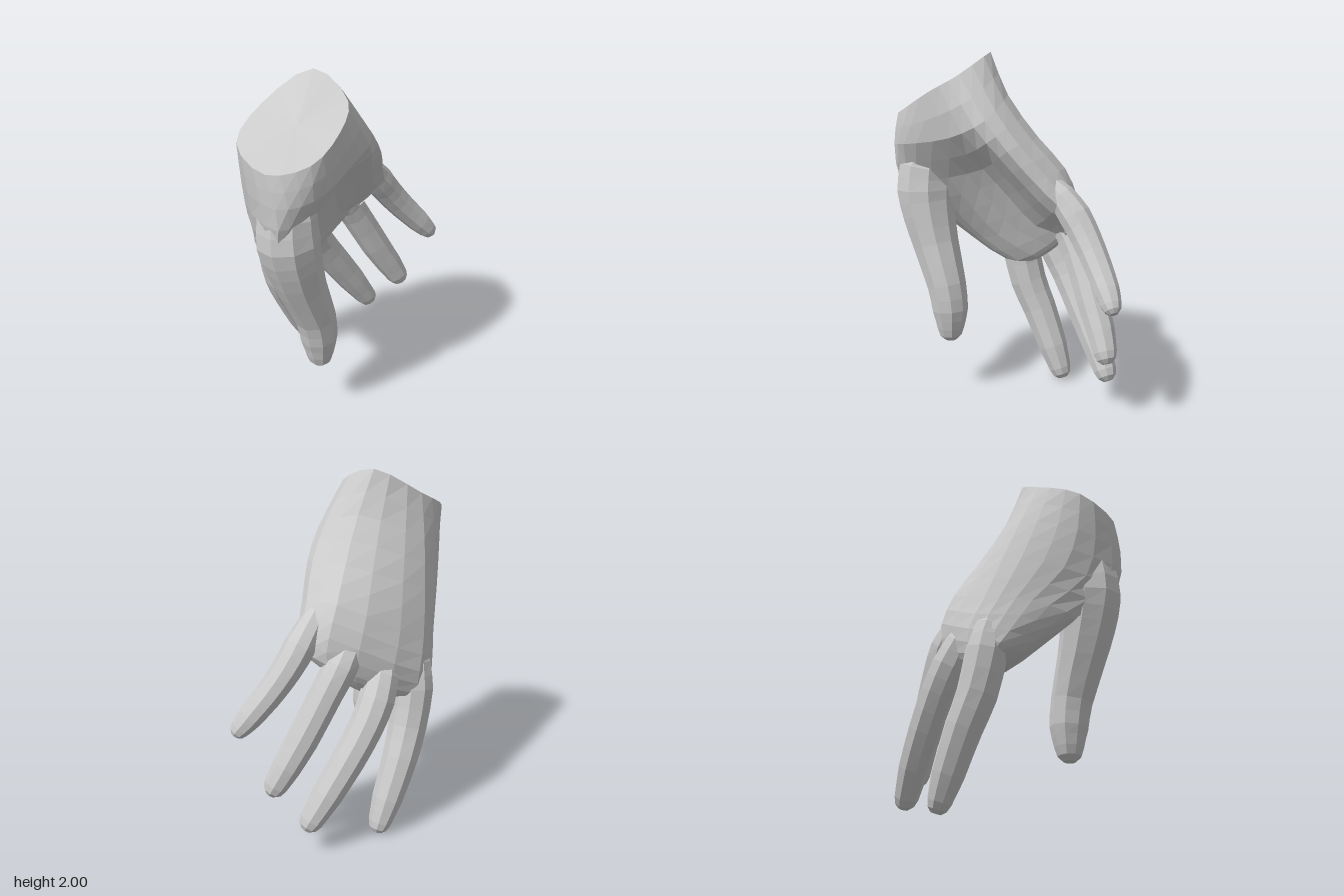
import * as THREE from 'three';

const V = (a) => new THREE.Vector3(a[0], a[1], a[2]);
const skin = new THREE.MeshStandardMaterial({ color: 0xcccccc, flatShading: true });
const centre = (ring) =>
  ring.reduce((s, p) => s.add(p), new THREE.Vector3()).divideScalar(ring.length);

// Skin a list of equal-sized point rings; the far end is closed, the near end on request
function loft(name, rings, closeStart) {
  const n = rings[0].length, last = rings.length - 1;
  const pos = [], idx = [];
  [...rings.flat(), centre(rings[0]), centre(rings[last])].forEach((p) => pos.push(p.x, p.y, p.z));
  const c0 = n * rings.length, c1 = c0 + 1;
  for (let j = 0; j < n; j++) {
    const k = (j + 1) % n;
    for (let i = 0; i < last; i++) {
      const a = i * n + j, b = i * n + k;
      idx.push(a, b, b + n, a, b + n, a + n);
    }
    if (closeStart) idx.push(c0, k, j);
    idx.push(c1, last * n + j, last * n + k);
  }
  const g = new THREE.BufferGeometry();
  g.setAttribute('position', new THREE.Float32BufferAttribute(pos, 3));
  g.setIndex(idx);
  g.computeVertexNormals();
  const mesh = new THREE.Mesh(g, skin);
  mesh.name = name;
  return mesh;
}

// Finger: rings along a curve through [x, y, z, radius] joints, with a rounded tip
function finger(name, joints, sides = 9) {
  const curve = new THREE.CatmullRomCurve3(joints.map(V));
  const steps = 2 * (joints.length - 1);
  const rings = [];
  const addRing = (c, t, r) => {
    const u = new THREE.Vector3(1, 0, 0).cross(t).normalize();
    const v = t.clone().cross(u);
    rings.push(Array.from({ length: sides }, (_, j) => {
      const a = (j / sides) * Math.PI * 2;
      return c.clone().addScaledVector(u, r * Math.cos(a)).addScaledVector(v, r * Math.sin(a));
    }));
  };
  for (let i = 0; i <= steps; i++) {
    const k = Math.floor(i / 2), m = Math.ceil(i / 2);
    addRing(curve.getPoint(i / steps), curve.getTangent(i / steps), (joints[k][3] + joints[m][3]) / 2);
  }
  const end = curve.getPoint(1), t = curve.getTangent(1), r = joints[joints.length - 1][3];
  addRing(end.clone().addScaledVector(t, r * 0.6), t, r * 0.8);
  addRing(end.clone().addScaledVector(t, r * 0.95), t, r * 0.42);
  return loft(name, rings, false);
}

// Palm sections from wrist to finger bases; each runs thumb mound, thumb side,
// index-side back, little-side back, little-finger edge, hollow, inner thumb mound
const sections = [
  [[-.32, 1.645, .61], [-.495, 1.725, .43], [-.4, 1.85, .195], [-.15, 2, .078], [.045, 1.895, .24], [.025, 1.8, .41], [-.1, 1.685, .57]],
  [[-.27, 1.47, .64], [-.485, 1.5, .41], [-.43, 1.62, .1], [-.08, 1.77, -.02], [.16, 1.66, .1], [.06, 1.55, .3], [-.09, 1.49, .57]],
  [[-.27, 1.23, .61], [-.48, 1.27, .33], [-.45, 1.37, 0], [-.04, 1.54, -.19], [.2, 1.5, -.02], [-.03, 1.36, .12], [-.14, 1.27, .42]],
  [[-.38, 1.02, .38], [-.49, 1.08, .16], [-.46, 1.12, -.1], [-.02, 1.37, -.34], [.2, 1.33, -.17], [-.05, 1.2, -.02], [-.23, 1.05, .27]],
  [[-.36, .88, .2], [-.5, .9, .04], [-.45, .95, -.18], [.01, 1.21, -.41], [.2, 1.2, -.3], [-.04, 1.03, -.18], [-.26, .9, .13]],
  [[-.32, .77, .02], [-.49, .79, -.05], [-.42, .82, -.19], [.02, 1.06, -.42], [.18, 1.13, -.38], [.02, .99, -.32], [-.22, .77, -.08]],
];

function palm() {
  const around = 21, along = 12;
  const loops = sections.map((s) =>
    new THREE.CatmullRomCurve3(s.map(V), true).getPoints(around).slice(0, around));
  // Draw the far end in, so that it forms rounded webs between the fingers
  const edge = loops[loops.length - 1];
  const middle = centre(edge);
  loops.push(edge.map((p) => p.clone().lerp(middle, 0.4).add(V([.015, -.045, -.03]))));
  // Smooth each lengthwise line from wrist to webs
  const lines = loops[0].map((_, j) =>
    new THREE.CatmullRomCurve3(loops.map((l) => l[j])).getPoints(along));
  return loft('palm', Array.from({ length: along + 1 }, (_, i) => lines.map((l) => l[i])), true);
}

export function createModel() {
  const hand = new THREE.Group();
  hand.name = 'hand';
  // Each finger starts inside the palm and swells out at its knuckle
  hand.add(
    palm(),
    finger('thumb', [[-.24, 1.46, .43, .12], [-.25, 1.35, .455, .16], [-.245, 1.2, .465, .172],
      [-.22, 1.05, .445, .155], [-.185, .88, .405, .135], [-.125, .65, .342, .115],
      [-.11, .5, .322, .106], [-.105, .39, .32, .08]]),
    finger('indexFinger', [[-.395, 1.05, -.02, .065], [-.405, .96, -.065, .097], [-.41, .82, -.09, .115],
      [-.39, .6, -.14, .11], [-.36, .43, -.21, .102], [-.3, .2, -.295, .088], [-.265, .07, -.34, .066]]),
    finger('middleFinger', [[-.265, 1.03, -.2, .06], [-.255, .95, -.25, .092], [-.235, .83, -.315, .102],
      [-.19, .7, -.38, .098], [-.1, .52, -.46, .095], [0, .34, -.535, .086], [.08, .2, -.585, .068]]),
    finger('ringFinger', [[-.105, 1.19, -.25, .055], [-.08, 1.11, -.31, .087], [-.045, 1.03, -.365, .097],
      [.02, .9, -.42, .092], [.14, .65, -.495, .09], [.22, .5, -.54, .082], [.28, .39, -.565, .068]]),
    finger('littleFinger', [[.09, 1.31, -.25, .05], [.12, 1.24, -.315, .078], [.17, 1.14, -.39, .09],
      [.23, 1.03, -.45, .085], [.32, .9, -.51, .078], [.41, .79, -.555, .07], [.46, .73, -.575, .057]]),
  );
  return hand;
}
